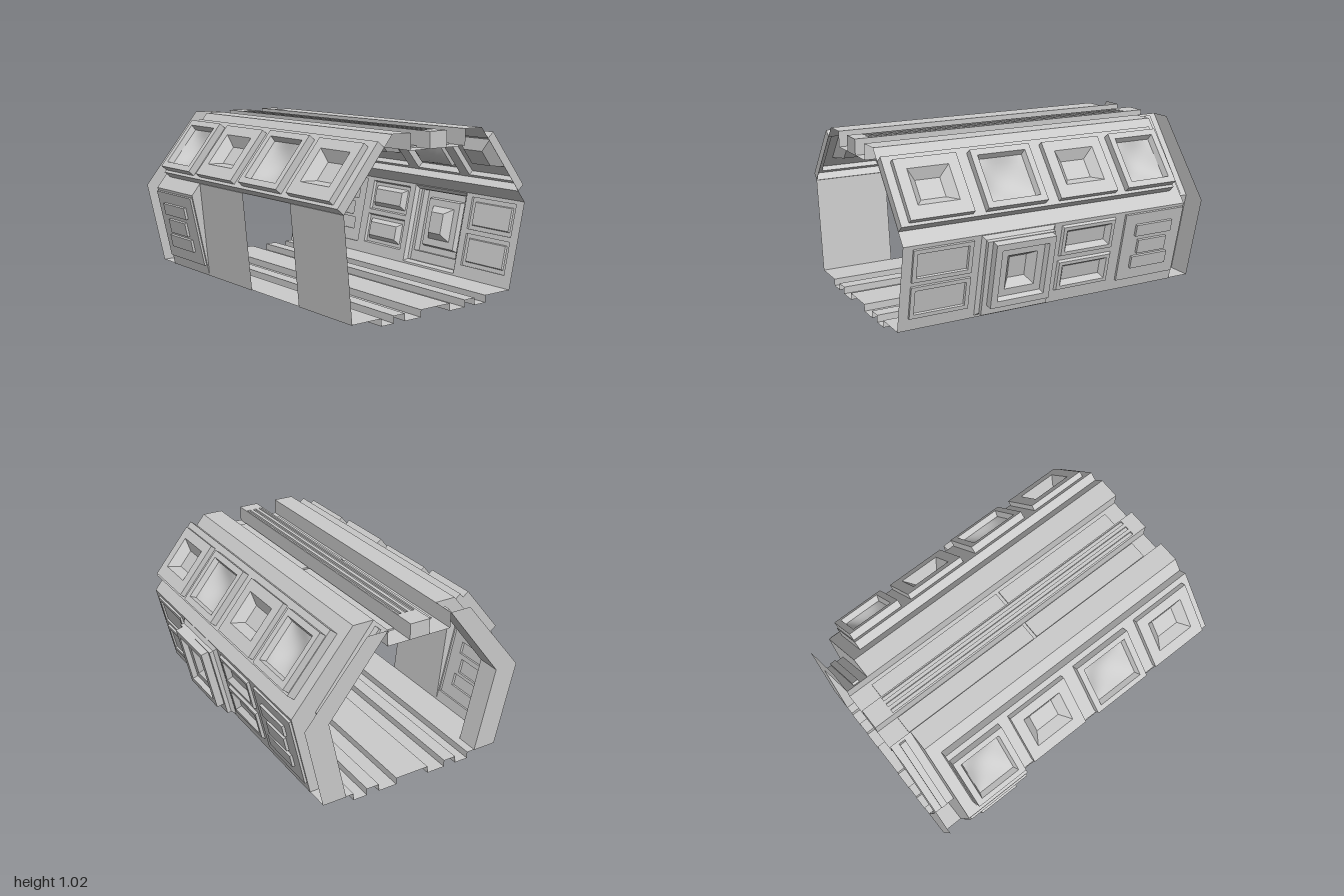
import * as THREE from 'three';

const mat = new THREE.MeshStandardMaterial({ color: 0xcccccc, side: THREE.DoubleSide, flatShading: true });
const smooth = new THREE.MeshStandardMaterial({ color: 0xcccccc, side: THREE.DoubleSide });

// Wall cross-section as [distance from the middle, height]
const OUT = [[0.6, 0.04], [0.715, 0.56], [0.335, 1.025]];
const INN = [[0.45, 0.04], [0.565, 0.56], [0.205, 1.025]];
const MID = [0.658, 0.63];
const X0 = -0.86, X1 = 1;

function add(parent, geo, name, material = mat) {
  const m = new THREE.Mesh(geo, material);
  m.name = name;
  parent.add(m);
  return m;
}

// Nested rectangles [x0, x1, y0, y1, depth] joined into a stepped surface, closed on the last one
function steps(parent, name, rects, close = true) {
  const pos = [];
  const corners = ([a, b, c, d, n]) => [[a, c, n], [b, c, n], [b, d, n], [a, d, n]];
  const quad = (a, b, c, d) => pos.push(...a, ...b, ...c, ...a, ...c, ...d);
  for (let i = 0; i + 1 < rects.length; i++) {
    const p = corners(rects[i]), q = corners(rects[i + 1]);
    for (let k = 0; k < 4; k++) {
      const j = (k + 1) % 4;
      quad(p[k], p[j], q[j], q[k]);
    }
  }
  if (close) quad(...corners(rects[rects.length - 1]));
  const g = new THREE.BufferGeometry();
  g.setAttribute('position', new THREE.Float32BufferAttribute(pos, 3));
  g.computeVertexNormals();
  return add(parent, g, name);
}

// Flat sheet with rectangular holes
function sheet(parent, name, [x0, x1, y0, y1], holes = [], n = 0) {
  const path = (P, [a, b, c, d]) => {
    const p = new P();
    p.moveTo(a, c); p.lineTo(b, c); p.lineTo(b, d); p.lineTo(a, d); p.closePath();
    return p;
  };
  const s = path(THREE.Shape, [x0, x1, y0, y1]);
  holes.forEach((h) => s.holes.push(path(THREE.Path, h)));
  add(parent, new THREE.ShapeGeometry(s), name).position.z = n;
}

// Softly dished pane
function pane(parent, [a, b, c, d], n, depth) {
  const g = new THREE.PlaneGeometry(b - a, d - c, 10, 10);
  const p = g.attributes.position;
  for (let i = 0; i < p.count; i++) {
    const u = (2 * p.getX(i)) / (b - a), v = (2 * p.getY(i)) / (d - c);
    p.setZ(i, -depth * (1 - u * u) * (1 - v * v));
  }
  g.computeVertexNormals();
  add(parent, g, 'windowPane', smooth).position.set((a + b) / 2, (c + d) / 2, n);
}

const inset = ([a, b, c, d], e) => [a + e, b - e, c + e, d - e];

// Group whose local y climbs from p to q and whose local z points outward
function slope(parent, name, p, q) {
  const g = new THREE.Group();
  g.name = name;
  g.position.set(0, p[1], p[0]);
  g.rotation.x = Math.atan2(q[0] - p[0], q[1] - p[1]);
  g.userData.len = Math.hypot(q[0] - p[0], q[1] - p[1]);
  parent.add(g);
  return g;
}

// Shape in the cross-section plane at a given x
function section(parent, name, pts, x) {
  const m = add(parent, new THREE.ShapeGeometry(new THREE.Shape(pts.map(([z, y]) => new THREE.Vector2(z, y)))), name);
  m.rotation.y = -Math.PI / 2;
  m.position.x = x;
}

// Upper wall with four framed windows; its lowest strip ends at x = skirtEnd
function upperWall(side, skirtEnd) {
  const g = slope(side, 'upperWall', OUT[1], OUT[2]);
  const band = [-0.79, 0.998, 0.092, 0.515];
  sheet(g, 'upperSkin', [X0, X1, 0.09, g.userData.len], [band]);
  sheet(g, 'upperSkirt', [X0, skirtEnd, 0, 0.09]);
  const boxes = [[-0.785, -0.44], [-0.37, 0.02], [0.11, 0.49], [0.57, 0.95]].map((r) => [...r, 0.11, 0.475]);
  steps(g, 'bandEdge', [[...band, 0], [...band, 0.055]], false);
  sheet(g, 'bandFace', band, boxes, 0.055);
  boxes.forEach((b, i) => {
    if (i % 2 === 0) {
      const o = inset(b, 0.038);
      steps(g, 'wideWindow', [[...b, 0.055], [...b, 0.1], [...o, 0.1], [...inset(o, 0.012), 0.065]], false);
      pane(g, inset(o, 0.012), 0.065, 0.05);
    } else {
      const o = [b[0] + 0.065, b[1] - 0.065, b[2] + 0.08, b[3] - 0.065];
      steps(g, 'funnelWindow', [[...b, 0.055], [...b, 0.09], [...o, 0.09], [...inset(o, 0.05), 0.035]]);
    }
  });
}

// Raised panel with three bars, hollow from behind
const BAR_PANEL = [-0.85, -0.43, 0.07, 0.515];
function barPanel(g) {
  const bars = [[-0.77, -0.51, 0.15, 0.23], [-0.745, -0.54, 0.25, 0.34], [-0.77, -0.51, 0.37, 0.445]];
  steps(g, 'barPanelEdge', [[...BAR_PANEL, 0], [...BAR_PANEL, 0.014]], false);
  sheet(g, 'barPanel', BAR_PANEL, bars, 0.014);
  bars.forEach((r) => steps(g, 'panelBar', [[...r, 0.014], [...r, 0.03]]));
}

function frontLower(side) {
  const g = slope(side, 'frontLowerWall', OUT[0], OUT[1]);
  sheet(g, 'lowerSkin', [X0, -0.42, 0, g.userData.len], [BAR_PANEL]);
  barPanel(g);
  // Steeper plain sheets with the doorway open between them
  const f = slope(side, 'plainWall', OUT[0], MID);
  sheet(f, 'plainSheet', [-0.42, 0.06, 0, f.userData.len]);
  sheet(f, 'plainSheet', [0.53, X1, 0, f.userData.len]);
  section(side, 'wallCheek', [OUT[0], OUT[1], MID], -0.42);
}

function backLower(side) {
  const g = slope(side, 'backLowerWall', OUT[0], OUT[1]);
  const door = [0.06, 0.53, 0.015, 0.528];
  const pairs = [[0.58, 0.94], [-0.36, 0.01]].map(([a, b]) => [[a, b, 0.08, 0.28], [a, b, 0.31, 0.51]]);
  sheet(g, 'lowerSkin', [X0, X1, 0, g.userData.len], [door, BAR_PANEL, ...pairs.flat()]);
  barPanel(g);
  // Stepped alcove
  const a = [0.1, 0.48, 0.1, 0.505];
  steps(g, 'alcove', [
    [...door, 0], [...inset(door, 0.02), 0.02], [...inset(door, 0.02), 0.045], [...a, 0.045], [...a, 0.092],
    [...inset(a, 0.04), 0.092], [...inset(a, 0.05), 0.06], [...inset(a, 0.095), 0.06], [...inset(a, 0.135), 0.01],
  ]);
  // Stacked panels: plain on one side, hollowed on the other
  pairs[0].forEach((r) => steps(g, 'stackedPanel',
    [[...r, 0], [...r, 0.014], [...inset(r, 0.025), 0.014], [...inset(r, 0.03), 0.004]]));
  pairs[1].forEach((r) => steps(g, 'hollowPanel',
    [[...r, 0], [...inset(r, 0.008), 0.016], [...inset(r, 0.03), 0.016], [...inset(r, 0.055), -0.015]]));
}

// Recessed end frame and wall top
function endFrame(side) {
  [-1, X0].forEach((x) => section(side, 'endCap', [...OUT, ...INN.slice().reverse()], x));
  for (let i = 0; i < 2; i++) {
    const g = slope(side, 'endRecess', INN[i], INN[i + 1]);
    sheet(g, 'recessSkin', [-1, X0, 0, g.userData.len]);
    const r = [-0.95, -0.91, 0.01, g.userData.len - 0.02];
    if (i) steps(g, 'recessRib', [[...r, 0], [...r, 0.015]]);
  }
  const top = add(side, new THREE.PlaneGeometry(X1 - X0, OUT[2][0] - INN[2][0]), 'wallTop');
  top.rotation.x = -Math.PI / 2;
  top.position.set((X0 + X1) / 2, 1.025, (OUT[2][0] + INN[2][0]) / 2);
}

// Open strip of a [z, y] profile along the full length
function strips(parent, name, prof) {
  for (let i = 0; i + 1 < prof.length; i++) {
    const [z0, y0] = prof[i], [z1, y1] = prof[i + 1];
    const s = add(parent, new THREE.PlaneGeometry(2, Math.hypot(z1 - z0, y1 - y0)), name);
    s.position.set(0, (y0 + y1) / 2, (z0 + z1) / 2);
    s.rotation.x = Math.atan2(z1 - z0, y1 - y0);
  }
}

// Sunken roof with a grooved beam and thin panels
function roof(body) {
  const w = INN[2][0];
  strips(body, 'roofTray', [[w, 1.025], [w, 0.93], [-w, 0.93], [-w, 1.025]]);
  const flat = new THREE.Group();
  flat.name = 'roofTop';
  flat.rotation.x = -Math.PI / 2;
  body.add(flat);
  const beam = [-1, 1, -0.065, 0.062];
  const grooves = [-0.043, 0, 0.043].map((y) => [-0.87, 0.91, y - 0.011, y + 0.011]);
  steps(flat, 'roofBeam', [[...beam, 0.93], [...beam, 1.025]], false);
  sheet(flat, 'beamTop', beam, grooves, 1.025);
  grooves.forEach((r) => steps(flat, 'beamGroove', [[...r, 1.025], [...r, 1.012]]));
  [-0.125, 0.125].forEach((y) => [[-0.86, 0.05], [0.07, 0.9]].forEach(([a, b]) => {
    const r = [a, b, y - 0.055, y + 0.055];
    steps(flat, 'roofPanel', [[...r, 0.93], [...r, 0.94]]);
  }));
}

export function createModel() {
  const model = new THREE.Group();
  model.name = 'corridorSection';
  const body = new THREE.Group();
  body.name = 'body';
  body.position.z = 0.035;
  model.add(body);

  // Two mirrored sides with different lower walls
  [1, -1].forEach((s) => {
    const side = new THREE.Group();
    side.name = s > 0 ? 'frontSide' : 'backSide';
    side.scale.z = s;
    body.add(side);
    upperWall(side, s > 0 ? -0.42 : X1);
    (s > 0 ? frontLower : backLower)(side);
    endFrame(side);
  });

  // Floor with channels running lengthwise
  const half = [[0.6, 0.043], [0.4, 0.043], [0.4, 0], [0.31, 0], [0.31, 0.043], [0.23, 0.043], [0.23, 0], [0.11, 0], [0.11, 0.043]];
  strips(body, 'floorStrip', [...half, ...half.slice().reverse().map(([z, y]) => [-z, y])]);
  roof(body);
  return model;
}
